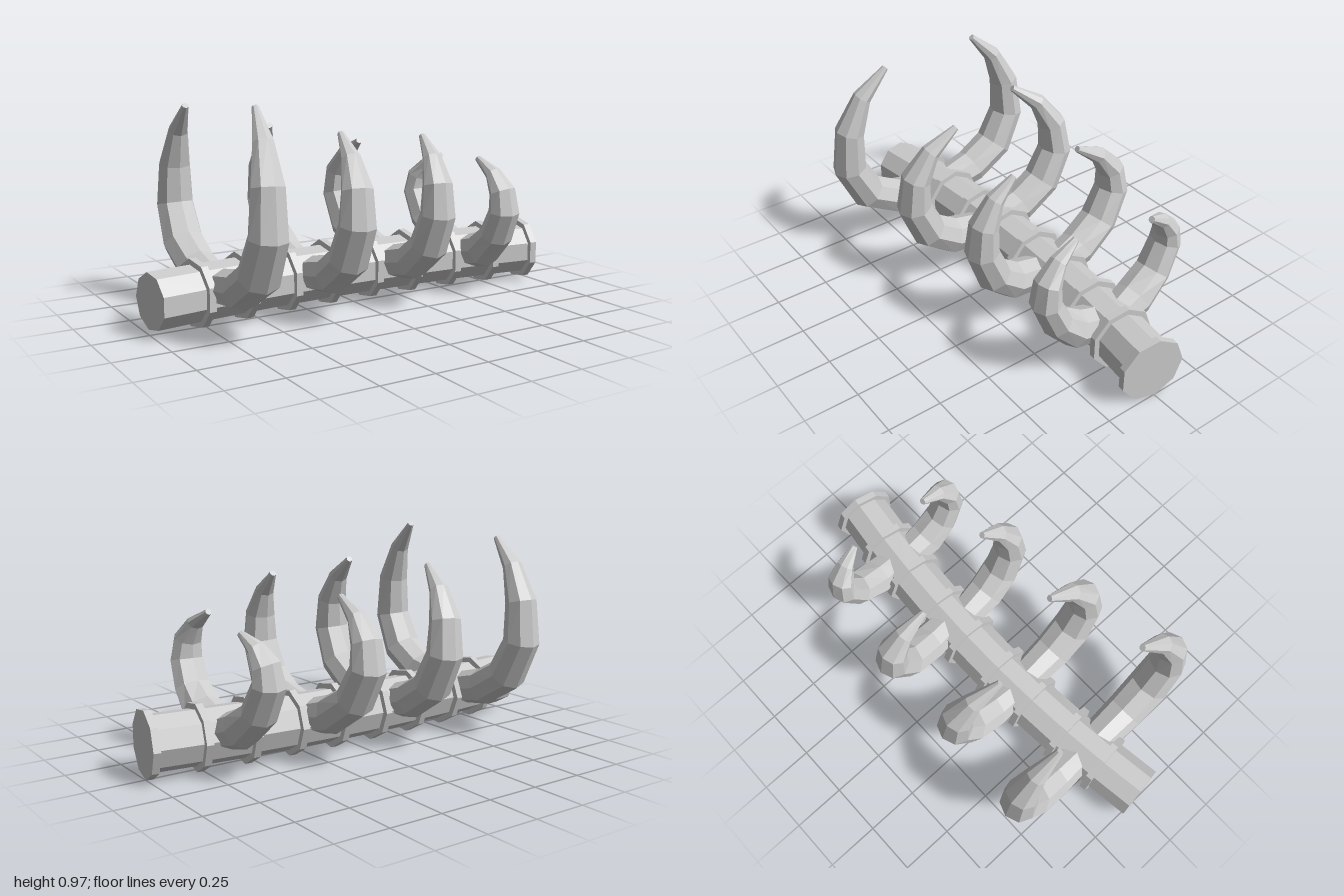
import * as THREE from 'three';

const material = new THREE.MeshStandardMaterial({ color: 0xcccccc, flatShading: true });

// Closed faceted tube; radii are [along ref, across ref] at each path point
function loft(path, radii, sides, ref, phase = 0) {
  const pos = [], index = [], n = path.length;
  path.forEach((p, i) => {
    const t = path[Math.min(i + 1, n - 1)].clone().sub(path[Math.max(i - 1, 0)]).normalize();
    const u = ref.clone().addScaledVector(t, -ref.dot(t)).normalize();
    const v = t.clone().cross(u);
    for (let j = 0; j < sides; j++) {
      const a = phase + (j / sides) * Math.PI * 2;
      const q = p.clone()
        .addScaledVector(u, Math.cos(a) * radii[i][0])
        .addScaledVector(v, Math.sin(a) * radii[i][1]);
      pos.push(q.x, q.y, q.z);
    }
  });
  const first = n * sides, last = first + 1;
  for (const p of [path[0], path[n - 1]]) pos.push(p.x, p.y, p.z);
  for (let j = 0; j < sides; j++) {
    const k = (j + 1) % sides;
    for (let i = 0; i < n - 1; i++) {
      const a = i * sides + j, b = i * sides + k;
      index.push(a, b, b + sides, a, b + sides, a + sides);
    }
    index.push(first, k, j, last, (n - 1) * sides + j, (n - 1) * sides + k);
  }
  const g = new THREE.BufferGeometry();
  g.setAttribute('position', new THREE.Float32BufferAttribute(pos, 3));
  g.setIndex(index);
  const flat = g.toNonIndexed();
  flat.computeVertexNormals();
  return flat;
}

function addMesh(group, name, geometry) {
  const mesh = new THREE.Mesh(geometry, material);
  mesh.name = name;
  group.add(mesh);
}

const up = new THREE.Vector3(0, 1, 0);
const across = new THREE.Vector3(1, 0, 0);
const spinePoint = x => new THREE.Vector3(x, 0.155, -0.055 + 0.075 * x * x);

// Base x, outer x, tip x, outermost z, bend height, tip z, tip height, thickness
const frontRibs = [
  [-0.68, -0.675, -0.622, 0.55, 0.47, 0.265, 0.965, 1],
  [-0.23, -0.22, -0.175, 0.47, 0.46, 0.18, 0.825, 0.97],
  [0.21, 0.235, 0.255, 0.41, 0.45, 0.18, 0.79, 0.93],
  [0.645, 0.64, 0.615, 0.37, 0.42, 0.135, 0.655, 0.8],
];
const backRibs = [
  [-0.675, -0.685, -0.70, 0.55, 0.47, 0.275, 0.935, 1],
  [-0.24, -0.24, -0.31, 0.52, 0.46, 0.235, 0.83, 0.97],
  [0.23, 0.185, 0.175, 0.52, 0.45, 0.235, 0.73, 0.93],
  [0.66, 0.625, 0.67, 0.44, 0.43, 0.235, 0.625, 0.8],
];

function ribGeometry([xBase, xOuter, xTip, zOuter, yBend, zTip, yTip, s], side) {
  const { lerp } = THREE.MathUtils;
  const zMid = zOuter - 0.078 * s;
  const path = [];
  const add = (x, y, z) => path.push(new THREE.Vector3(x, y, z * side));
  // Lower half sweeps out from the spine
  add(xBase, 0.175, side > 0 ? 0.01 : 0.08);
  add(lerp(xBase, xOuter, 0.4), 0.21, zMid * 0.5);
  add(lerp(xBase, xOuter, 0.8), 0.3, zMid * 0.82);
  add(xOuter, yBend, zMid);
  // Upper half curls back in to the tip
  for (const [fx, fy, fz] of [[0.15, 0.4, 0.07], [0.5, 0.74, 0.42], [1, 1, 1]])
    add(lerp(xOuter, xTip, fx), lerp(yBend, yTip, fy), lerp(zMid, zTip, fz));
  const radii = [0.078, 0.088, 0.088, 0.08, 0.068, 0.042, 0.015].map((r, i) =>
    i < 2 ? [r * 1.05, r] : i < 6 ? [r * 1.1 * (s + 1) / 2, r * s] : [r, r]);
  return loft(path, radii, 8, across);
}

export function createModel() {
  const model = new THREE.Group();
  model.name = 'spineWithRibs';

  // Gently curved nine-sided spine
  const ringX = Array.from({ length: 9 }, (_, i) => -0.783 + i * 0.2205);
  const spinePath = [-1, ...ringX].map(spinePoint);
  addMesh(model, 'spine', loft(spinePath, spinePath.map(() => [0.126, 0.126]), 9, up, -Math.PI / 2));

  // Raised rings between the vertebrae
  const rings = new THREE.Group();
  rings.name = 'rings';
  for (const x of ringX) {
    const path = [x - 0.016, x + 0.016].map(spinePoint);
    addMesh(rings, 'ring', loft(path, [[0.152, 0.152], [0.152, 0.152]], 9, up, -Math.PI / 2));
  }
  model.add(rings);

  // Curved ribs on both sides
  for (const [name, list, side] of [['frontRib', frontRibs, 1], ['backRib', backRibs, -1]]) {
    const group = new THREE.Group();
    group.name = name + 's';
    for (const rib of list) addMesh(group, name, ribGeometry(rib, side));
    model.add(group);
  }
  return model;
}
